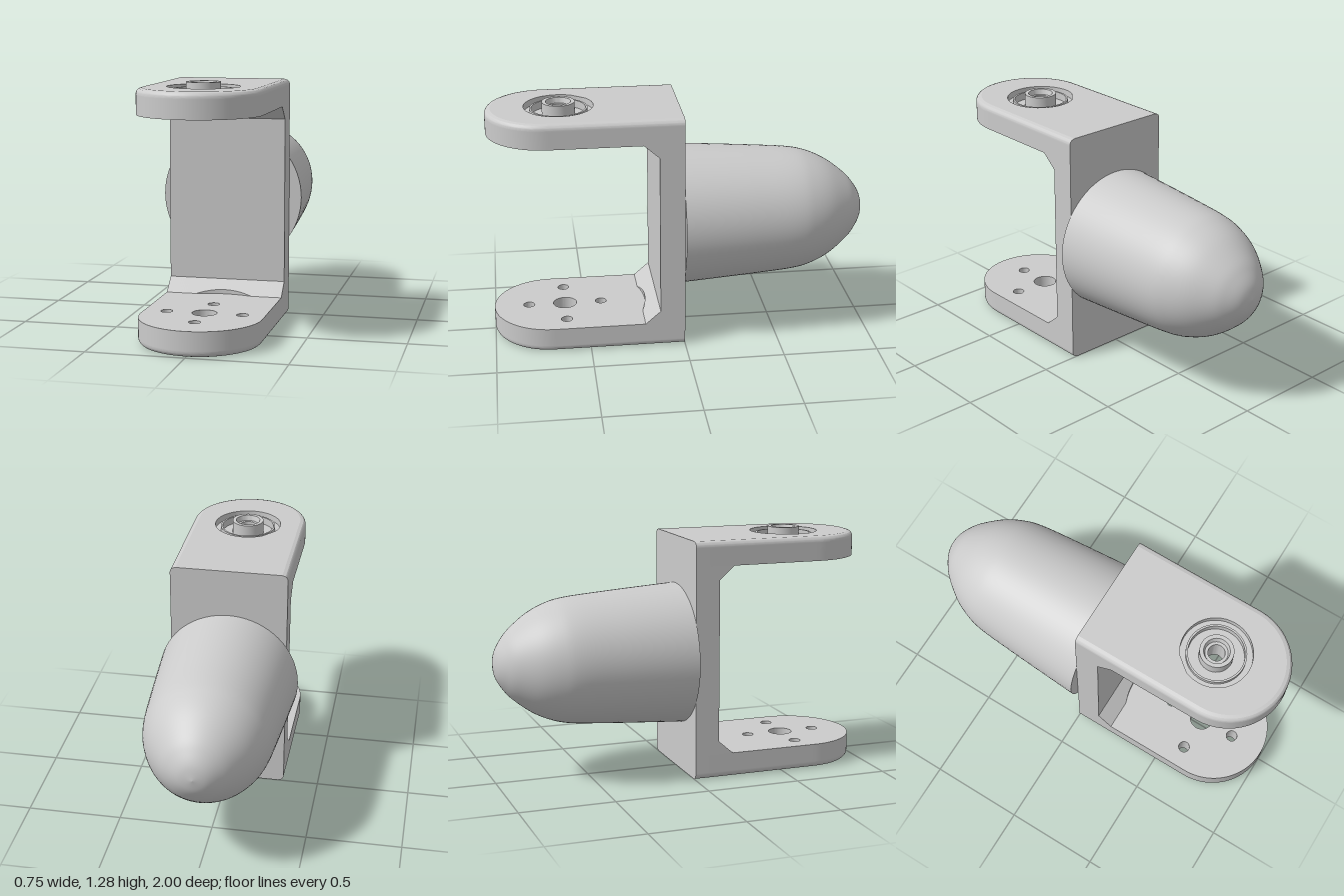
import * as THREE from 'three';
import { toCreasedNormals } from 'three/addons/utils/BufferGeometryUtils.js';

const HALF = 0.31;      // half width of the bracket
const THICK = 0.13;     // plate and wall thickness
const HEIGHT = 1.26;
const ARC_Z = 0.69;     // centre of the rounded plate end
const PIVOT_Z = 0.62;   // joint axis
const FILLET = 0.03;

const grey = new THREE.MeshStandardMaterial({ color: 0xcccccc });

function part(name, geometry) {
  const mesh = new THREE.Mesh(geometry, grey);
  mesh.name = name;
  return mesh;
}

// Arm plate lying on y = 0, its lower outer edge rounded; holes are [x, z, radius]
function plateGeometry(holes) {
  const shape = new THREE.Shape();
  shape.moveTo(-HALF, 0);
  shape.lineTo(HALF, 0);
  shape.lineTo(HALF, ARC_Z);
  shape.absarc(0, ARC_Z, HALF, 0, Math.PI, false);
  shape.closePath();
  for (const [x, z, r] of holes) {
    const hole = new THREE.Path();
    hole.absarc(x, z, r, 0, Math.PI * 2, true);
    shape.holes.push(hole);
  }
  const geo = new THREE.ExtrudeGeometry(shape, { depth: THICK, steps: 26, curveSegments: 24, bevelEnabled: false });
  geo.rotateX(Math.PI / 2).translate(0, THICK, 0);

  // Pull the outline inward near y = 0 along a quarter circle
  const pos = geo.attributes.position;
  for (let i = 0; i < pos.count; i++) {
    const x = pos.getX(i), y = pos.getY(i), z = pos.getZ(i);
    if (y >= FILLET) continue;
    const dz = Math.max(0, z - ARC_Z);
    if (Math.hypot(x, dz) < HALF - 0.001) continue;
    const inset = FILLET - Math.sqrt(Math.max(0, FILLET ** 2 - (FILLET - y) ** 2));
    const k = (HALF - inset) / HALF;
    pos.setX(i, x * k);
    if (dz > 0) pos.setZ(i, ARC_Z + dz * k);
  }
  return toCreasedNormals(geo, 0.25);
}

// Sloped corner brace between wall and plate, with a round clearance cut
function braceGeometry() {
  const columns = 62, reach = 0.21, rise = 0.07, clearance = 0.436;
  const verts = [], index = [];
  for (let i = 0; i <= columns; i++) {
    const x = -HALF + (2 * HALF * i) / columns;
    const z = Math.min(reach, PIVOT_Z - Math.sqrt(clearance ** 2 - x * x));
    const y = THICK + (reach - z) * rise / (reach - THICK);
    verts.push(x, THICK + rise, THICK, x, y, z, x, THICK, z, x, THICK, THICK);
    if (i === columns) continue;
    for (let j = 0; j < 2; j++) {
      const a = i * 4 + j, b = a + 4;
      index.push(a, a + 1, b, b, a + 1, b + 1);
    }
  }
  const e = columns * 4;
  index.push(e + 3, e, e + 1, 3, 1, 0); // end triangles
  const geo = new THREE.BufferGeometry();
  geo.setAttribute('position', new THREE.Float32BufferAttribute(verts, 3));
  geo.setIndex(index);
  return toCreasedNormals(geo, 0.4);
}

// Turn a lower part over to become its upper counterpart
const flipToTop = (geo) => geo.rotateZ(Math.PI).translate(0, HEIGHT, 0);

export function createModel() {
  const model = new THREE.Group();
  model.name = 'hingeBracket';

  // U-shaped bracket
  const wall = new THREE.BoxGeometry(2 * HALF, HEIGHT - 2 * THICK, THICK);
  model.add(part('backWall', wall.translate(0, HEIGHT / 2, THICK / 2)));

  const screwHoles = [[0.195, 0], [-0.195, 0], [0, 0.195], [0, -0.195]]
    .map(([x, z]) => [x, PIVOT_Z + z, 0.03]);
  model.add(part('lowerPlate', plateGeometry([[0, PIVOT_Z, 0.063], ...screwHoles])));
  model.add(part('upperPlate', flipToTop(plateGeometry([[0, PIVOT_Z, 0.18]]))));
  model.add(part('lowerBrace', braceGeometry()));
  model.add(part('upperBrace', flipToTop(braceGeometry())));

  // Pivot bearing with stepped recess, raised collar and through hole
  const hubProfile = [
    [0.18, 1.26], [0.18, 1.225], [0.15, 1.225], [0.15, 1.25], [0.14, 1.25], [0.14, 1.21],
    [0.085, 1.21], [0.085, 1.283], [0.065, 1.283], [0.057, 1.255], [0.042, 1.255],
    [0.042, 1.11], [0.1, 1.11], [0.1, 1.126], [0.155, 1.126], [0.155, 1.13], [0.18, 1.13],
  ].map(([r, y]) => new THREE.Vector2(r, y));
  const hub = toCreasedNormals(new THREE.LatheGeometry(hubProfile, 48), 0.4);
  model.add(part('pivotBearing', hub.translate(0, 0, PIVOT_Z)));

  // Rounded stub behind the wall
  const domeCurve = new THREE.SplineCurve([
    [0.375, 0], [0.362, 0.2], [0.348, 0.4], [0.331, 0.6], [0.308, 0.7], [0.262, 0.8],
    [0.186, 0.9], [0.13, 0.95], [0.07, 0.985], [0, 1],
  ].map(([r, y]) => new THREE.Vector2(r, y)));
  const domePoints = domeCurve.getPoints(54);
  domePoints.forEach((p) => { p.x = Math.max(0, p.x); });
  const dome = new THREE.LatheGeometry(domePoints, 72).rotateX(-Math.PI / 2);
  model.add(part('roundedStub', dome.translate(0, HEIGHT / 2, 0)));
  const base = new THREE.CircleGeometry(0.375, 72).translate(0, HEIGHT / 2, 0);
  model.add(part('stubBase', base));

  return model;
}
